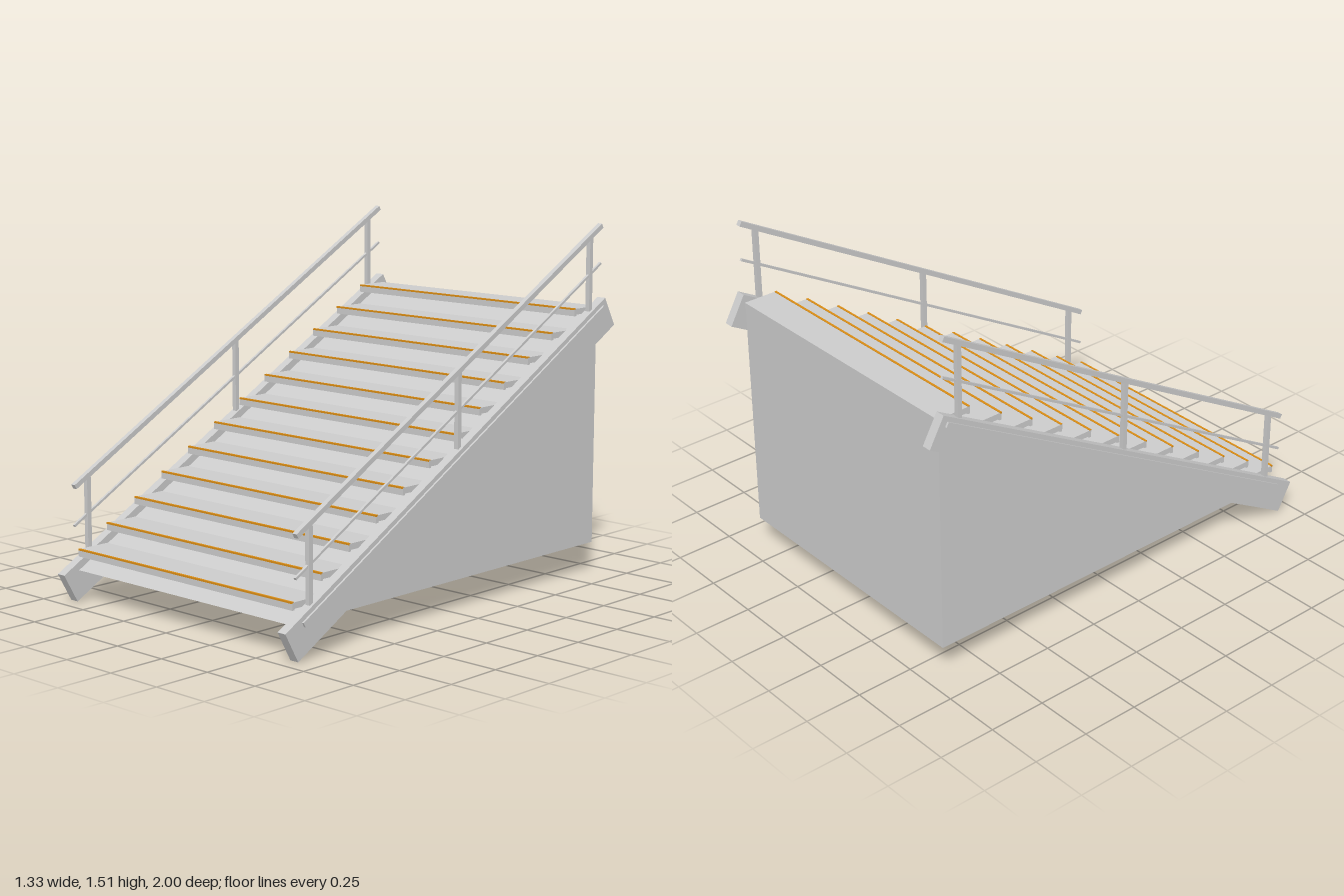
import * as THREE from 'three';

const grey = new THREE.MeshStandardMaterial({ color: 0xcccccc, flatShading: true });
const amber = new THREE.MeshStandardMaterial({ color: 0xd98c14, flatShading: true });

const STEPS = 12, RUN = 0.154, RISE = 0.0855, HALF = 0.615;
const SLOPE = 0.557, ANGLE = Math.atan(SLOPE);

function box(parent, name, w, h, d, x, y, z, material = grey) {
  const mesh = new THREE.Mesh(new THREE.BoxGeometry(w, h, d), material);
  mesh.name = name;
  mesh.position.set(x, y, z);
  parent.add(mesh);
  return mesh;
}

// Bar running up the flight between two z positions, given its height at z = 0
function slopedBar(parent, name, w, h, x, y0, zFront, zBack) {
  const z = (zFront + zBack) / 2;
  const bar = box(parent, name, w, h, (zFront - zBack) / Math.cos(ANGLE), x, y0 - z * SLOPE, z);
  bar.rotation.x = ANGLE;
}

export function createModel() {
  const model = new THREE.Group();
  model.name = 'staircase';

  // Solid wedge under the flight
  const profile = new THREE.Shape();
  profile.moveTo(-0.92, 0.13);
  profile.lineTo(0.925, 0.13);
  profile.lineTo(0.925, 1.157);
  profile.closePath();
  const wedge = new THREE.ExtrudeGeometry(profile, { depth: HALF * 2, bevelEnabled: false });
  wedge.translate(0, 0, -HALF).rotateY(Math.PI / 2);
  const base = new THREE.Mesh(wedge, grey);
  base.name = 'wedgeBase';
  model.add(base);

  // Treads with a front lip and a coloured nosing strip
  for (let i = 0; i < STEPS; i++) {
    const step = new THREE.Group();
    step.name = 'step';
    step.position.set(0, 0.219 + i * RISE, 0.92 - i * RUN);
    box(step, 'tread', HALF * 2, 0.025, RUN, 0, -0.0125, -RUN / 2);
    box(step, 'treadLip', HALF * 2, 0.031, 0.012, 0, -0.0155, -0.006);
    box(step, 'nosing', HALF * 2, 0.007, 0.01, 0, -0.0015, -0.004, amber);
    model.add(step);
  }

  for (const side of [1, -1]) {
    const flank = new THREE.Group();
    flank.name = side > 0 ? 'leftSide' : 'rightSide';

    // Stringer with a narrow strip on its outer face
    slopedBar(flank, 'stringer', 0.041, 0.139, side * 0.635, 0.598, 0.965, -0.965);
    slopedBar(flank, 'stringerStrip', 0.012, 0.022, side * 0.658, 0.643, 0.905, -0.92);

    // Posts and rails
    for (const z of [0.85, 0, -0.845]) {
      const bottom = 0.675 - z * SLOPE, top = 0.992 - z * SLOPE;
      box(flank, 'post', 0.02, top - bottom, 0.02, side * 0.634, (top + bottom) / 2, z);
    }
    slopedBar(flank, 'handrail', 0.022, 0.021, side * 0.634, 0.991, 0.922, -0.918);
    slopedBar(flank, 'midRail', 0.011, 0.01, side * 0.634, 0.83, 0.925, -0.92);
    model.add(flank);
  }
  return model;
}
